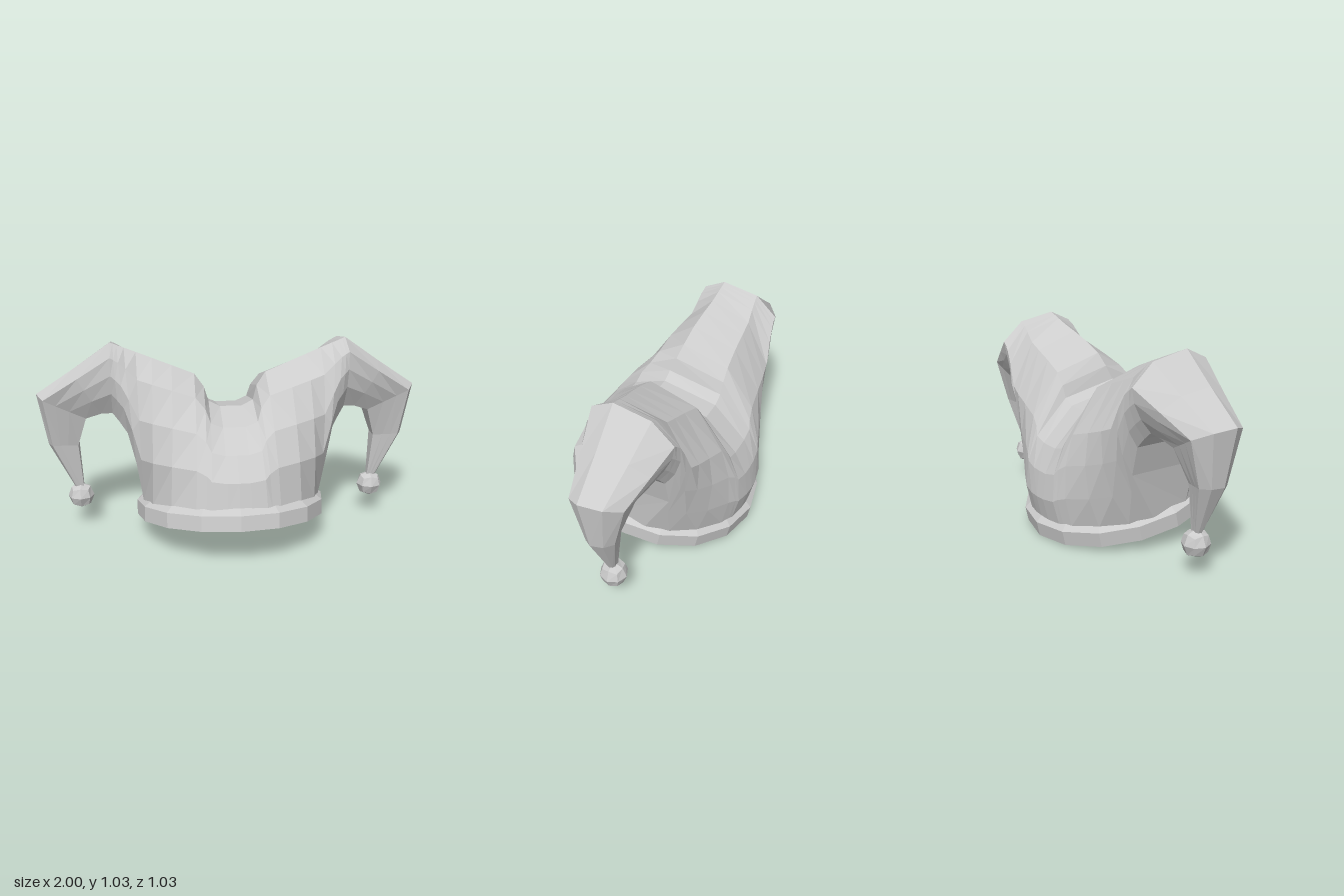
import * as THREE from 'three';

const cloth = new THREE.MeshStandardMaterial({ color: 0xcccccc, flatShading: true, side: THREE.DoubleSide });

// Sections from the middle of the cap out to the left-hand tip:
// foot x, y (null = on the tilted brim), front z, back z | crown x, y, front z, back z | bulge
const SECTIONS = [
  [0, null, 0.455, -0.485, 0, 0.70, 0.20, -0.43, 0.07],
  [0.06, null, 0.45, -0.48, 0.056, 0.70, 0.20, -0.43, 0.07],
  [0.14, null, 0.44, -0.465, 0.115, 0.73, 0.20, -0.43, 0.065],
  [0.165, null, 0.43, -0.455, 0.137, 0.80, 0.16, -0.42, 0.065],
  [0.21, null, 0.41, -0.435, 0.185, 0.865, 0.13, -0.41, 0.06],
  [0.33, null, 0.32, -0.35, 0.30, 0.912, 0.12, -0.395, 0.06],
  [0.42, null, 0.205, -0.235, 0.40, 0.95, 0.10, -0.385, 0.07],
  [0.465, null, 0.08, -0.12, 0.48, 0.98, 0.08, -0.375, 0.08],
  [0.495, 0.43, 0.11, -0.27, 0.54, 1.003, 0.07, -0.365, 0.05],
  [0.535, 0.58, 0.06, -0.27, 0.575, 1.016, 0.065, -0.36, 0.04],
  [0.575, 0.63, 0.02, -0.26, 0.595, 1.024, 0.06, -0.355, 0.04],
  [0.61, 0.665, -0.02, -0.25, 0.61, 1.03, 0.06, -0.355, 0.035],
  [0.67, 0.66, -0.03, -0.25, 0.80, 0.895, 0.02, -0.31, 0.02],
  [0.75, 0.63, -0.05, -0.23, 1.0, 0.76, -0.02, -0.26, 0],
  [0.80, 0.47, -0.09, -0.18, 0.955, 0.48, -0.07, -0.20, 0],
  [0.785, 0.22, -0.115, -0.145, 0.83, 0.22, -0.115, -0.145, 0],
];
const FIRST_CLOSED = 7; // from here outward the underside is closed
// Heights of the points up the front and the back; the fourth is the shoulder
const FRONT = [0, 0.33, 0.6, 0.85, 1];
const BACK = [0, 0.2, 0.42, 0.62, 0.9];

// Ten points running from the front foot over the crown to the back foot
function sectionPoints([xb, yb, zbF, zbB, xt, yt, ztF, ztB, bulge], sign) {
  const side = (heights, zFoot, zShoulder, zOther, dir) => heights.map((v, i) => {
    const footY = yb === null ? 0.195 + 0.2 * zFoot : yb;
    const t = v / heights[3];
    const z = i === 4
      ? THREE.MathUtils.lerp(zShoulder, zOther, 0.27)
      : THREE.MathUtils.lerp(zFoot, zShoulder, t) + dir * bulge * Math.sin(Math.PI * t);
    return [sign * THREE.MathUtils.lerp(xb, xt, v), THREE.MathUtils.lerp(footY, yt, v), z];
  });
  return [...side(FRONT, zbF, ztF, ztB, 1), ...side(BACK, zbB, ztB, ztF, -0.75).reverse()];
}

// Cap and both drooping horns as one loft from tip to tip
function capGeometry() {
  const last = SECTIONS.length - 1;
  const rings = [];
  for (let i = -last; i <= last; i++) rings.push(sectionPoints(SECTIONS[Math.abs(i)], Math.sign(i)));
  const pos = [];
  const n = rings[0].length;
  for (let r = 0; r < rings.length - 1; r++) {
    const closed = Math.min(Math.abs(r - last), Math.abs(r + 1 - last)) >= FIRST_CLOSED;
    for (let j = 0; j < (closed ? n : n - 1); j++) {
      const k = (j + 1) % n;
      const a = rings[r][j], b = rings[r][k], c = rings[r + 1][j], d = rings[r + 1][k];
      // Mirror the diagonal so both halves match
      if (r < last) pos.push(...a, ...c, ...d, ...a, ...d, ...b);
      else pos.push(...a, ...c, ...b, ...c, ...d, ...b);
    }
  }
  const geo = new THREE.BufferGeometry();
  geo.setAttribute('position', new THREE.Float32BufferAttribute(pos, 3));
  geo.computeVertexNormals();
  return geo;
}

// Faceted ball: a subdivided cube pushed out to a sphere
function bellGeometry(radius) {
  const geo = new THREE.BoxGeometry(1, 1, 1, 2, 2, 2);
  const p = geo.attributes.position;
  const v = new THREE.Vector3();
  for (let i = 0; i < p.count; i++) {
    v.fromBufferAttribute(p, i).setLength(radius);
    p.setXYZ(i, v.x, v.y, v.z);
  }
  geo.computeVertexNormals();
  return geo;
}

export function createModel() {
  const hat = new THREE.Group();
  hat.name = 'jesterHat';
  const add = (name, geo) => {
    const mesh = new THREE.Mesh(geo, cloth);
    mesh.name = name;
    hat.add(mesh);
    return mesh;
  };
  // Turned part, tilted up at the front
  const addTilted = (name, profile) => {
    const mesh = add(name, new THREE.LatheGeometry(profile.map(([x, y]) => new THREE.Vector2(x, y)), 16));
    mesh.scale.x = 0.965;
    mesh.rotation.x = -0.203;
    mesh.position.set(0, 0.1045, 0.0075);
  };

  add('capAndHorns', capGeometry());

  // Band round the opening, and the lining that rises inside it
  addTilted('brim', [[0.48, 0.003], [0.518, 0], [0.518, 0.077], [0.478, 0.107], [0.45, 0.105]]);
  addTilted('lining', [[0, 0.44], [0.2, 0.43], [0.33, 0.38], [0.48, 0.003]]);

  // Bells on the tips
  for (const s of [1, -1]) {
    add(s > 0 ? 'leftBell' : 'rightBell', bellGeometry(0.07)).position.set(s * 0.803, 0.17, -0.13);
  }
  return hat;
}
